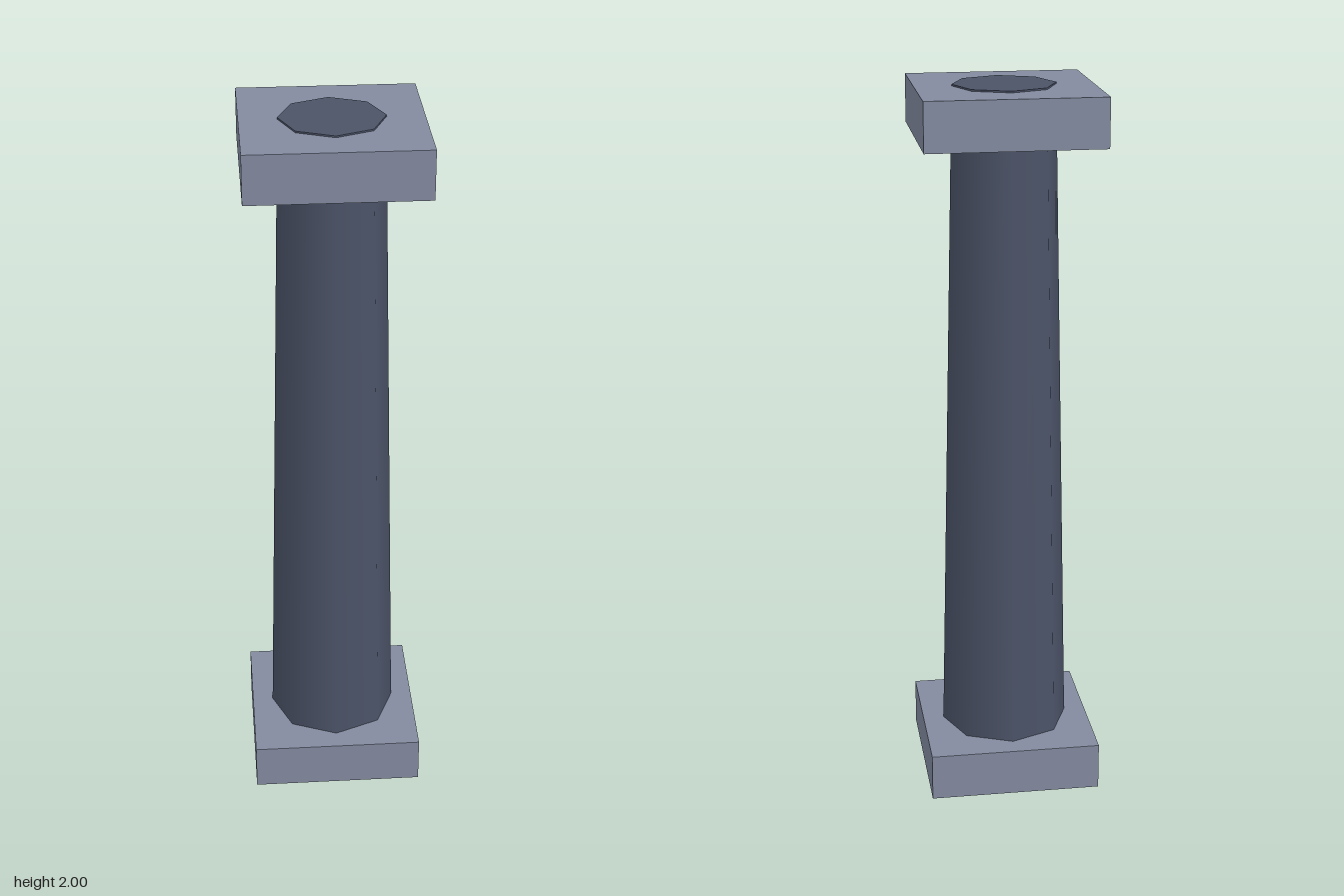
import * as THREE from 'three';

export function createModel() {
  const model = new THREE.Group();
  model.name = 'column';

  const slabStone = new THREE.MeshStandardMaterial({ color: 0x838ba0 });
  slabStone.name = 'light slate';
  const shaftStone = new THREE.MeshStandardMaterial({ color: 0x4b5367 });
  shaftStone.name = 'dark slate';

  // Tapered eight-sided shaft, smooth shaded, running through both slabs
  const shaft = new THREE.Mesh(new THREE.CylinderGeometry(0.14, 0.184, 2, 8), shaftStone);
  shaft.name = 'shaft';
  shaft.position.y = 1;
  model.add(shaft);

  // Square slabs at the foot and the head
  const slabGeometry = new THREE.BoxGeometry(0.48, 0.133, 0.48);
  for (const [name, y] of [['baseSlab', 0.077], ['capitalSlab', 1.929]]) {
    const slab = new THREE.Mesh(slabGeometry, slabStone);
    slab.name = name;
    slab.position.y = y;
    model.add(slab);
  }

  return model;
}
